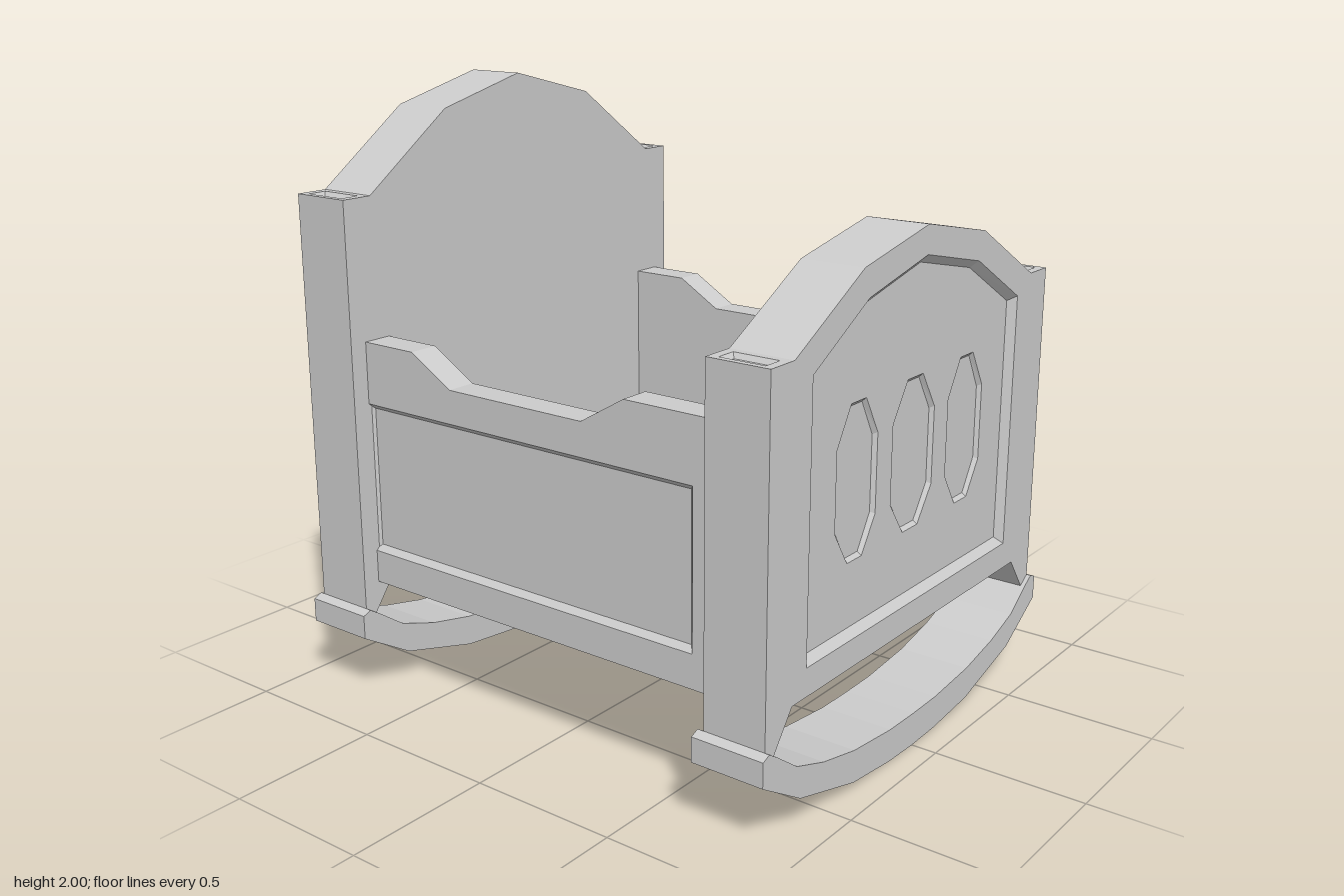
import * as THREE from 'three';

const material = new THREE.MeshStandardMaterial({ color: 0xcccccc, flatShading: true });

const toVectors = (points) => points.map(([x, y]) => new THREE.Vector2(x, y));

// Completes a profile given from +u to the centre line by mirroring it.
const mirrored = (half) => [
  ...half,
  ...half.filter(([u]) => u > 0).reverse().map(([u, y]) => [-u, y]),
];

function addMesh(parent, geometry, name) {
  const mesh = new THREE.Mesh(geometry, material);
  mesh.name = name;
  parent.add(mesh);
  return mesh;
}

function slab(outline, holes, from, depth) {
  const shape = new THREE.Shape(toVectors(outline));
  shape.holes = holes.map((h) => new THREE.Path(toVectors(h)));
  return new THREE.ExtrudeGeometry(shape, { depth, bevelEnabled: false }).translate(0, 0, from);
}

// Sloping moulding from a contour at height w down to a smaller one.
function moulding(contour, inset, w, depth) {
  let outer = toVectors(contour);
  if (THREE.ShapeUtils.isClockWise(outer)) outer.reverse();
  const box = new THREE.Box2().setFromPoints(outer);
  const centre = box.getCenter(new THREE.Vector2());
  const size = box.getSize(new THREE.Vector2());
  const inner = outer.map((p) => new THREE.Vector2(
    centre.x + (p.x - centre.x) * (1 - 2 * inset / size.x),
    centre.y + (p.y - centre.y) * (1 - 2 * inset / size.y)));
  const positions = [];
  outer.forEach((a, i) => {
    const j = (i + 1) % outer.length;
    const b = outer[j], c = inner[j], d = inner[i];
    const low = w - depth;
    positions.push(a.x, a.y, w, b.x, b.y, w, c.x, c.y, low);
    positions.push(a.x, a.y, w, c.x, c.y, low, d.x, d.y, low);
  });
  const geometry = new THREE.BufferGeometry();
  geometry.setAttribute('position', new THREE.Float32BufferAttribute(positions, 3));
  geometry.computeVertexNormals();
  return geometry;
}

// Board whose outer face (+w) steps down through levels of recessed contours.
function recessedBoard(name, outline, thickness, levels) {
  const board = new THREE.Group();
  board.name = name;
  let top = thickness;
  for (const { label, contours, inset, depth } of levels) {
    addMesh(board, slab(outline, contours, top - depth, depth), label + 'Layer');
    for (const c of contours) addMesh(board, moulding(c, inset, top, depth), label + 'Moulding');
    top -= depth;
  }
  addMesh(board, slab(outline, [], 0, top), 'boardCore');
  return board;
}

// Tall octagon cut into the end panels.
const octagon = (u, halfWidth) => mirrored([
  [halfWidth, 0.83], [halfWidth, 1.08], [halfWidth * 0.36, 1.2],
]).concat([[-halfWidth * 0.36, 0.72], [halfWidth * 0.36, 0.72]])
  .map(([x, y]) => [x + u, y]);

// End board with posts; everything above the bottom edge is stretched.
function endBoard(name, stretch) {
  const lift = ([u, y]) => [u, 0.4 + (y - 0.4) * stretch];
  const cap = 0.015, width = 0.21;
  const postTop = lift([0, 1.4])[1];
  const outline = mirrored([
    [0.67, 0.4], [0.76, 0.28], [0.8, 0.28], [0.8, postTop - cap], [0.69, postTop - cap],
    [0.69, postTop], lift([0.35, 1.59]), lift([0, 1.66]),
  ]);
  const panel = mirrored([[0.6, 0.49], [0.6, 1.34], [0.32, 1.5], [0, 1.57]]).map(lift);
  const ovals = [octagon(-0.32, 0.11), octagon(0, 0.123), octagon(0.32, 0.11)]
    .map((o) => o.map(lift));
  const board = recessedBoard(name, outline, width, [
    { label: 'panel', contours: [panel], inset: 0.025, depth: 0.025 },
    { label: 'octagon', contours: ovals, inset: 0.012, depth: 0.012 },
  ]);

  // Post caps with a shallow rectangular recess.
  const rim = [[0.69, 0], [0.8, 0], [0.8, width], [0.69, width]];
  const recess = [[0.715, 0.03], [0.78, 0.03], [0.78, 0.18], [0.715, 0.18]];
  for (const side of [1, -1]) {
    const flip = (pts) => pts.map(([u, w]) => [u * side, -w]);
    const post = new THREE.Group();
    post.name = 'postCap';
    addMesh(post, slab(flip(rim), [flip(recess)], 0, cap), 'capRim');
    addMesh(post, moulding(flip(recess), 0.012, cap, cap), 'capMoulding');
    post.rotation.x = -Math.PI / 2;
    post.position.y = postTop - cap;
    board.add(post);
  }

  // Curved rocker under the posts.
  const rocker = [
    ...mirrored([[0.83, 0.22], [0.64, 0.105], [0.35, 0.025], [0.14, 0.004], [0, 0]]),
    ...mirrored([[0.83, 0.3], [0.8, 0.312], [0.765, 0.29], [0.66, 0.215], [0.52, 0.168],
      [0.35, 0.132], [0.14, 0.112], [0, 0.11]]).reverse(),
  ];
  addMesh(board, slab(rocker, [], -0.02, width + 0.035), 'rocker');
  return board;
}

// Side board with a dipped top edge and a long recessed panel.
function sideBoard(name, direction) {
  const flip = (pts) => pts.map(([x, y]) => [x * direction, y]);
  const outline = flip([
    [-0.72, 0.39], [0.71, 0.39], [0.71, 1.21], [0.36, 1.21], [0.2, 1.115],
    [-0.33, 1.115], [-0.49, 1.21], [-0.72, 1.21],
  ]);
  const panel = flip([[-0.71, 0.5], [0.605, 0.5], [0.605, 1.005], [-0.71, 1.005]]);
  const board = recessedBoard(name, outline, 0.1, [
    { label: 'panel', contours: [panel], inset: 0.018, depth: 0.02 },
  ]);
  board.position.z = 0.64 * direction;
  if (direction < 0) board.rotation.y = Math.PI;
  return board;
}

export function createModel() {
  const cradle = new THREE.Group();
  cradle.name = 'cradle';

  const headboard = endBoard('headboard', 1.272);
  headboard.rotation.y = -Math.PI / 2;
  headboard.position.x = -0.7;
  const footboard = endBoard('footboard', 1);
  footboard.rotation.y = Math.PI / 2;
  footboard.position.x = 0.69;
  cradle.add(headboard, footboard, sideBoard('frontSide', 1), sideBoard('backSide', -1));

  // Thin floor between the boards.
  const floor = addMesh(cradle, new THREE.BoxGeometry(1.41, 0.03, 1.3), 'floor');
  floor.position.set(-0.005, 0.625, 0);
  return cradle;
}
